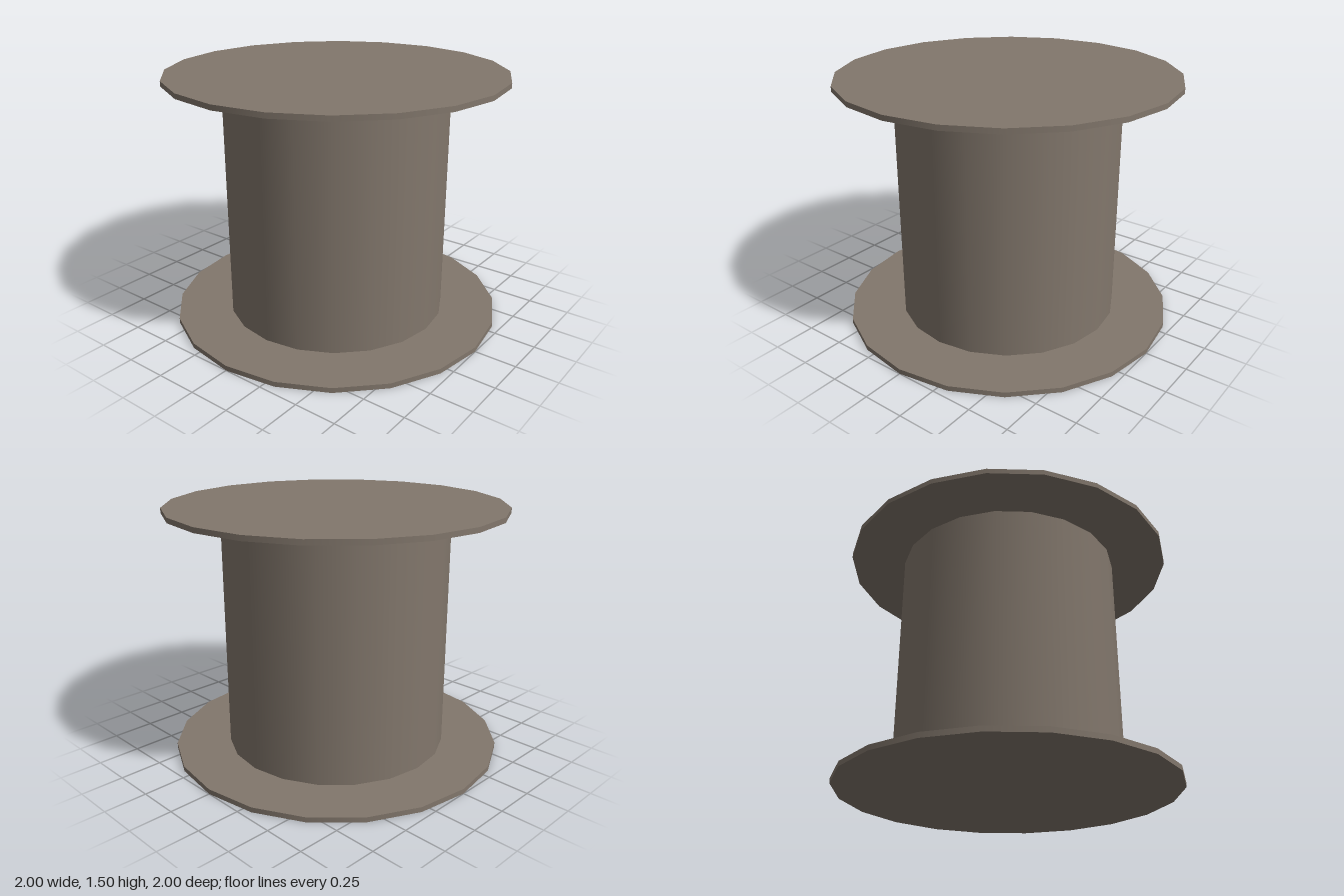
import * as THREE from 'three';

const SIDES = 20;
const HEIGHT = 1.5;
const PLATE = 0.03;

export function createModel() {
  const group = new THREE.Group();
  group.name = 'spool';
  const material = new THREE.MeshStandardMaterial({ color: 0x82776c });
  material.name = 'greyBrown';

  // Adds an upright 20-sided drum, centred on the axis
  const addDrum = (name, radius, height, y, open = false) => {
    const geometry = new THREE.CylinderGeometry(radius, radius, height, SIDES, 1, open);
    const mesh = new THREE.Mesh(geometry, material);
    mesh.name = name;
    mesh.position.y = y;
    group.add(mesh);
  };

  // Thin end plates and the core between them
  addDrum('bottomFlange', 1, PLATE, PLATE / 2);
  addDrum('core', 0.67, HEIGHT - 2 * PLATE, HEIGHT / 2, true);
  addDrum('topFlange', 1, PLATE, HEIGHT - PLATE / 2);

  return group;
}
